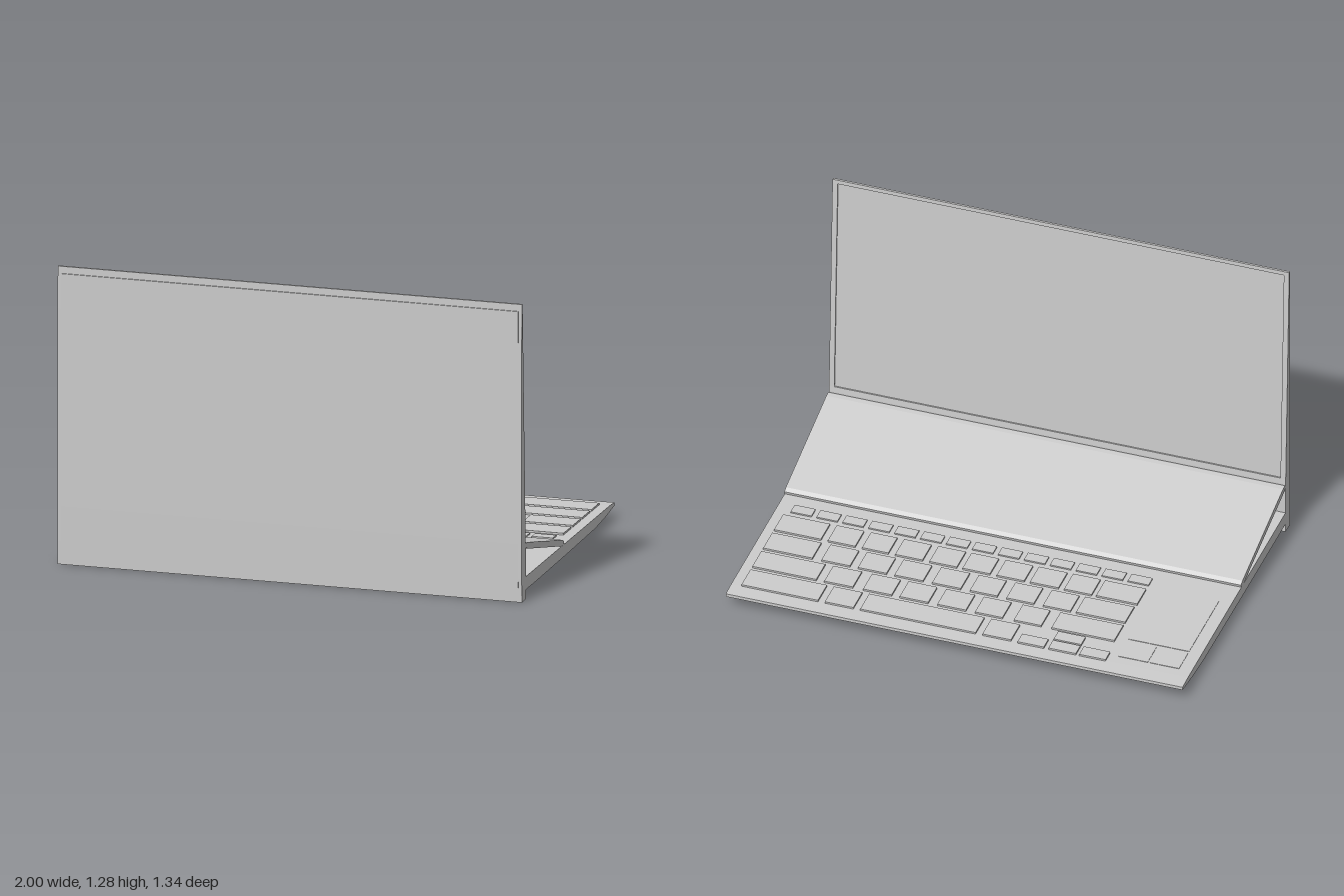
import * as THREE from 'three';

const material = new THREE.MeshStandardMaterial({ color: 0xcccccc, flatShading: true });

// Deck surface: height rises gently toward the hinge
const SLOPE = 0.0238;
const deckY = (z) => 0.0817 + SLOPE * z;

// Inner face of the lid leans outward toward the top
const lidZ = (y) => 0.607 + (y - 0.24) * 0.0423;

// Side profile of [z, y] points, extruded along x
function slab(name, points, x0, x1) {
  const shape = new THREE.Shape(points.map(([z, y]) => new THREE.Vector2(z, y)));
  const geometry = new THREE.ExtrudeGeometry(shape, { depth: x1 - x0, bevelEnabled: false });
  geometry.rotateY(-Math.PI / 2).translate(x1, 0, 0);
  const mesh = new THREE.Mesh(geometry, material);
  mesh.name = name;
  return mesh;
}

// Thin plate lying on the sloped deck
function plate(name, x0, x1, z0, z1, height) {
  const sink = 0.003;
  const mesh = new THREE.Mesh(new THREE.BoxGeometry(x1 - x0, height + sink, z1 - z0), material);
  const z = (z0 + z1) / 2;
  mesh.position.set((x0 + x1) / 2, deckY(z) + (height - sink) / 2, z);
  mesh.rotation.x = -Math.atan(SLOPE);
  mesh.name = name;
  return mesh;
}

function createLid() {
  const lid = new THREE.Group();
  lid.name = 'lid';
  const depth = 0.006, bottom = 0.265, top = 1.262, side = 0.977;

  // Body with the screen surface set back from the bezel
  lid.add(slab('lidBody', [
    [0.606, 0], [0.662, 0], [0.664, 0.1], [0.664, 1.1], [0.661, 1.28], [0.651, 1.28],
    [lidZ(top), top], [lidZ(top) + depth, top], [lidZ(bottom) + depth, bottom],
    [lidZ(bottom), bottom], [0.606, 0.24],
  ], -1, 1));

  // Bezel strips at both sides of the screen
  for (const s of [-1, 1]) {
    const [a, b] = s < 0 ? [-1, -side] : [side, 1];
    lid.add(slab('sideBezel', [
      [lidZ(bottom), bottom], [lidZ(bottom) + depth, bottom],
      [lidZ(top) + depth, top], [lidZ(top), top],
    ], a, b));
  }

  // Shallow outer cover that stops short of the top edge
  lid.add(slab('outerCover', [
    [0.66, 0.02], [0.663, 0.02], [0.667, 0.25], [0.668, 1.0], [0.667, 1.25], [0.66, 1.25],
  ], -0.985, 0.985));
  return lid;
}

function createKeyboard() {
  const keyboard = new THREE.Group();
  keyboard.name = 'keyboard';
  // Each row: z range, then start and end of every key in x
  const rows = [
    [-0.197, -0.085, [[-0.635, -0.455], [-0.435, -0.315], [-0.29, -0.165], [-0.14, -0.02], [0.01, 0.13],
      [0.155, 0.275], [0.305, 0.425], [0.455, 0.57], [0.6, 0.72], [0.75, 0.955]]],
    [-0.332, -0.219, [[-0.63, -0.415], [-0.39, -0.27], [-0.23, -0.11], [-0.07, 0.05], [0.09, 0.215],
      [0.255, 0.38], [0.415, 0.54], [0.575, 0.7], [0.74, 0.955]]],
    [-0.466, -0.354, [[-0.63, -0.355], [-0.31, -0.19], [-0.14, -0.02], [0.02, 0.145], [0.185, 0.31],
      [0.345, 0.47], [0.515, 0.64], [0.675, 0.955]]],
    [-0.6, -0.488, [[-0.225, -0.1], [-0.07, 0.435], [0.465, 0.59], [0.62, 0.955]]],
    // Arrow keys
    [-0.603, -0.545, [[-0.64, -0.525], [-0.51, -0.39], [-0.37, -0.255]]],
    [-0.537, -0.48, [[-0.51, -0.39]]],
  ];
  for (const [z0, z1, keys] of rows) {
    for (const [x0, x1] of keys) keyboard.add(plate('key', x0, x1, z0, z1, 0.008));
  }
  // Function row
  const count = 14, pitch = 1.59 / count;
  for (let i = 0; i < count; i++) {
    const x = -0.635 + i * pitch;
    keyboard.add(plate('functionKey', x, x + pitch - 0.022, -0.056, -0.005, 0.006));
  }
  return keyboard;
}

function createTouchpad() {
  const touchpad = new THREE.Group();
  touchpad.name = 'touchpad';
  touchpad.add(
    plate('touchSurface', -0.945, -0.68, -0.43, -0.06, 0.002),
    plate('touchButton', -0.945, -0.817, -0.555, -0.442, 0.002),
    plate('touchButton', -0.808, -0.68, -0.555, -0.442, 0.002),
  );
  return touchpad;
}

export function createModel() {
  const model = new THREE.Group();
  model.name = 'laptop';

  // Wedge-shaped base
  model.add(slab('base', [
    [0.61, 0.04], [0.61, deckY(0.61)], [-0.6, deckY(-0.6)], [-0.667, 0.063], [-0.667, 0.049],
    [-0.55, 0.036], [-0.4, 0.027], [0, 0.03], [0.45, 0.036],
  ], -1, 1));

  // Tilted second display between deck and lid
  model.add(slab('tiltedDisplay', [
    [0.605, 0.222], [0.605, 0.234], [0.595, 0.238], [0.575, 0.236], [0.075, 0.107], [0.057, 0.096],
    [0.06, 0.084], [0.09, 0.084], [0.575, 0.208],
  ], -1, 1));

  model.add(createLid(), createKeyboard(), createTouchpad());
  return model;
}
